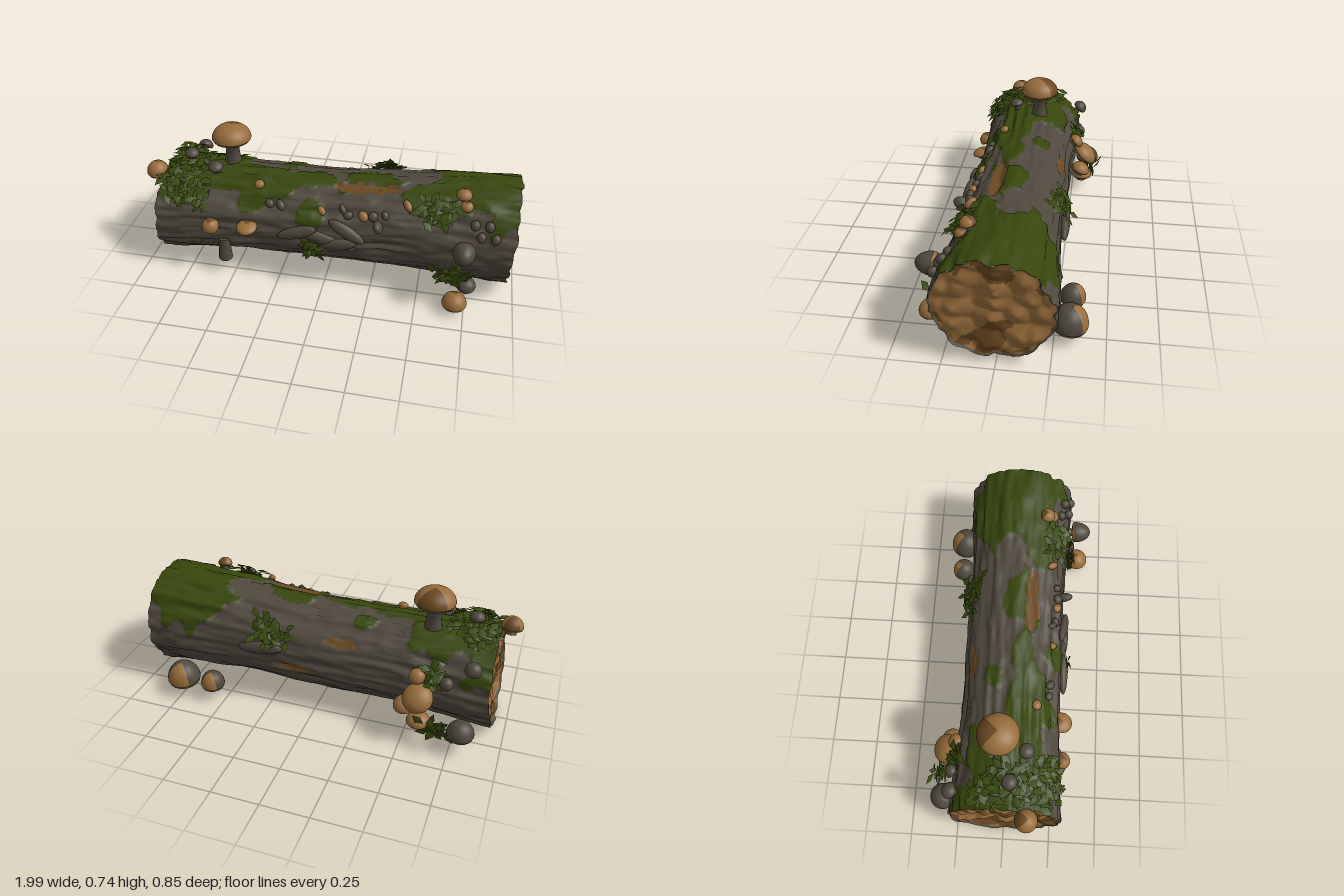
import * as THREE from 'three';
import { mergeGeometries } from 'three/addons/utils/BufferGeometryUtils.js';

const mat = (name, color, side = THREE.FrontSide) => {
  const m = new THREE.MeshStandardMaterial({ color, side });
  m.name = name;
  return m;
};
const { sin, cos, PI, abs, hypot, min, max, floor } = Math;
const lerp = THREE.MathUtils.lerp;

// Seeded random numbers and smooth value noise
let seed = 7;
const rnd = () => (seed = (seed * 16807) % 2147483647) / 2147483647;
const hash = (x, y, z) => { const s = sin(x * 127.1 + y * 311.7 + z * 74.7) * 43758.5453; return s - floor(s); };
function noise(x, y, z) {
  const i = floor(x), j = floor(y), k = floor(z);
  const f = t => t * t * (3 - 2 * t), u = f(x - i), v = f(y - j), w = f(z - k);
  const row = (b, c) => lerp(hash(i, b, c), hash(i + 1, b, c), u);
  return lerp(lerp(row(j, k), row(j + 1, k), v), lerp(row(j, k + 1), row(j + 1, k + 1), v), w);
}
// Distance to the nearest cell centre, for the lumpy cut ends
function cells(y, z) {
  let d = 9;
  for (let i = floor(y) - 1; i <= floor(y) + 1; i++) for (let j = floor(z) - 1; j <= floor(z) + 1; j++)
    d = min(d, hypot(i + hash(i, j, 3) - y, j + hash(i, j, 8) - z));
  return d;
}

// Log outline; the angle a runs from the top (0) towards the front (+z)
const step = THREE.MathUtils.smoothstep;
const bottom = x => 0.055 - 0.04 * step(-x, 0.35, 0.95) - 0.012 * step(x, 0.3, 0.97);
const top = x => 0.525 + 0.065 * step(x, -0.2, 0.97);
const half = x => 0.262 + 0.026 * step(abs(x), 0.3, 0.97);
const MOSS = [[-0.88, -0.1, 0.17, 1.15], [-0.45, 0.35, 0.46, 0.4], [-0.4, 0.8, 0.09, 0.3], [-0.62, -0.45, 0.15, 0.5],
  [-0.08, 0.95, 0.07, 0.38], [-0.22, -0.35, 0.06, 0.2], [0.25, 0, 0.2, 0.24], [0.78, -0.45, 0.28, 0.85],
  [0.9, 0, 0.2, 1.05], [0.57, 0.5, 0.17, 0.42]];
const BARE = [[0.2, 0.34, 0.17, 0.14], [-0.13, -0.95, 0.1, 0.1], [0.12, -1.75, 0.12, 0.09]];
const GAP = [[0.44, -0.15, 0.14, 0.28]];
const inside = (list, x, a, wob) => list.some(([cx, ca, rx, ra]) => hypot((x - cx) / rx, (a - ca) / ra) < 1 + wob);
function cover(x, angle) {
  const a = angle > PI ? angle - 2 * PI : angle;
  const w = (noise(x * 14, a * 4, 2) - 0.5) * 0.6;
  if (inside(BARE, x, a, w * 0.5)) return 2;
  return inside(MOSS, x, a, w) && !inside(GAP, x, a, w) ? 1 : 0;
}
function surface(x, a, scale = 1) {
  const c = cos(a), s = sin(a), b = bottom(x), t = top(x);
  const ridge = 1 - abs(2 * noise(x * 3 + 20, c * 5 + 9, s * 5 + 9) - 1);
  const fine = 1 - abs(2 * noise(x * 7 + 40, c * 13 + 20, s * 13 + 20) - 1);
  const d = 0.024 * ridge + 0.012 * fine - 0.026 + [0, 0.007, -0.006][cover(x, a)];
  return new THREE.Vector3(x, (b + t) / 2 + c * ((t - b) / 2 + d) * scale, 0.01 + s * (half(x) + d) * scale);
}
const ragged = (k, a) => 0.025 * (noise(k, cos(a) * 5 + 9, sin(a) * 5 + 9) - 0.5);
const leftEnd = a => -0.92 + 0.02 * cos(a) + ragged(5, a);
const rightEnd = a => 0.965 + 0.012 * cos(a) + ragged(15, a);

// Grid closed around the log, with one material group for each colour
function ringGrid(nu, nv, point, kind) {
  const pos = [], faces = [[], [], []];
  for (let i = 0; i <= nu; i++) for (let j = 0; j < nv; j++) pos.push(...point(i / nu, j / nv * 2 * PI).toArray());
  for (let i = 0; i < nu; i++) for (let j = 0; j < nv; j++) {
    const p = i * nv + j, q = i * nv + (j + 1) % nv;
    faces[kind((i + 0.5) / nu, (j + 0.5) / nv * 2 * PI)].push(p, q, p + nv, q, q + nv, p + nv);
  }
  const g = new THREE.BufferGeometry();
  g.setAttribute('position', new THREE.Float32BufferAttribute(pos, 3));
  g.setIndex(faces.flat());
  let start = 0;
  faces.forEach((f, k) => { g.addGroup(start, f.length, k); start += f.length; });
  g.computeVertexNormals();
  return g;
}

export function createModel() {
  const bark = mat('bark', 0x4f483e), moss = mat('moss', 0x37460c), wood = mat('wood', 0x976c3b);
  const darkWood = mat('darkWood', 0x6a4822), leaf = mat('mossLeaf', 0x3a4a10, THREE.DoubleSide);
  const root = new THREE.Group();
  root.name = 'mossyLog';
  const add = (name, geo, m, parent = root) => {
    const mesh = new THREE.Mesh(geo, m);
    mesh.name = name;
    parent.add(mesh);
    return mesh;
  };

  // Bark tube with moss and bare patches
  const along = (u, a) => lerp(leftEnd(a), rightEnd(a), u);
  add('barkTube', ringGrid(170, 140, (u, a) => surface(along(u, a), a), (u, a) => cover(along(u, a), a)), [bark, moss, darkWood]);

  // Lumpy cut ends with a bark rim
  for (const side of [-1, 1]) {
    const radius = u => side < 0 ? u : 1 - u;
    const point = (u, a) => {
      const r = radius(u), p = surface(side < 0 ? leftEnd(a) : rightEnd(a), a, r);
      if (r > 0.99) return p;
      const lump = 0.04 * (0.5 - cells(p.y * 9 + 5, p.z * 9 + 5)) + 0.012 * (noise(p.y * 20, p.z * 20, 4) - 0.5);
      p.x = lerp(side < 0 ? -0.905 : 0.963, p.x, r ** 4) + side * (lump * min(1, (1 - r) * 8) - 0.008);
      return p;
    };
    const kind = (u, a) => {
      const r = radius(u), y = r * cos(a), z = r * sin(a);
      if (r > 0.965) return 0;
      const n = noise(y * 4 + 9, z * 4 + 9, 6) - 0.5;
      if (side < 0) return n > 0.05 ? 2 : 1;
      return hypot((y + 0.65) / 0.4, (z - 0.05) / 0.45) + n < 0.85 || hypot((y - 0.9) / 0.3, z / 0.3) + n < 0.9 ||
        (r > 0.88 && n > 0.18) ? 2 : 1;
    };
    add(side < 0 ? 'leftCutEnd' : 'rightCutEnd', ringGrid(36, 100, point, kind), [bark, wood, darkWood]);
  }

  // Mushroom tilted towards the front by an angle; the back of its cap has a second colour
  function mushroom(name, base, tilt, r, h, stem, cap, patch) {
    const g = new THREE.Group();
    const lathe = (pts, from = 0, sweep = 2 * PI) =>
      new THREE.LatheGeometry(pts.map(p => new THREE.Vector2(...p)), 24, from, sweep);
    g.name = name;
    const s = min(r * 0.4, 0.04), dome = [];
    add('stem', lathe([[s * 1.25, -0.01], [s, stem * 0.25], [s * 0.9, stem * 0.6], [s * 1.3, stem * 0.9], [s * 1.9, stem * 1.02]]), bark, g);
    for (let i = 0; i <= 10; i++) {
      const t = i / 10 * PI / 2;
      dome.push([max(0.0005, r * cos(t)), stem + h * (0.14 + 0.86 * sin(t))]);
    }
    add('capUnderside', lathe([[0.001, stem], [r * 0.6, stem - h * 0.04], [r * 0.93, stem], dome[0]]), wood, g);
    add('cap', lathe(dome, -0.75 * PI, 1.5 * PI), cap, g);
    add('capBack', lathe(dome, 0.75 * PI, 0.5 * PI), patch, g);
    g.position.copy(base);
    g.rotation.x = tilt;
    root.add(g);
  }
  mushroom('tallMushroom', surface(-0.57, -0.18), 0, 0.106, 0.09, 0.135, wood, darkWood);
  // Small ones: x, angle on the log, distance out, tilt, cap radius, cap height
  const cluster = (name, cap, patch, list) => list.forEach(([x, a, out, tilt, r, h]) =>
    mushroom(name, surface(x, a, out), tilt, r, h, 0.015, cap, patch));
  cluster('frontMushroom', wood, darkWood, [[0.7, 2.28, 1.65, 0.05, 0.064, 0.07], [0.69, 0.5, 1.04, 0.15, 0.04, 0.04],
    [0.71, 0.65, 1, 0.5, 0.032, 0.03], [-0.61, 1.53, 1, 0.7, 0.046, 0.05], [-0.41, 1.5, 1.05, 0.25, 0.055, 0.03],
    [-0.95, 0.4, 0.86, 0.2, 0.058, 0.07]]);
  cluster('greyMushroom', bark, bark, [[0.72, 1.4, 1.03, 1.5, 0.058, 0.1], [0.75, 2.25, 1.25, 0.3, 0.05, 0.05],
    [-0.78, 0.05, 1.1, 0, 0.04, 0.04], [-0.62, 0.3, 1.06, 0.2, 0.04, 0.035], [-0.8, -2.12, 1.42, -0.1, 0.07, 0.085],
    [-0.82, -0.94, 1.1, -0.73, 0.042, 0.045], [-0.7, -1.3, 1.05, -0.9, 0.035, 0.04]]);
  cluster('backLowMushroom', bark, wood, [[0.75, -2.25, 1.5, -0.1, 0.09, 0.12], [0.57, -2.22, 1.5, -0.1, 0.065, 0.09]]);
  cluster('backMushroom', wood, wood, [[-0.57, -1.68, 1.15, -0.72, 0.078, 0.06], [-0.58, -2.16, 1.45, -0.05, 0.062, 0.055],
    [-0.5, -1.95, 1.2, -0.42, 0.055, 0.05], [-0.55, -1.3, 1.02, -0.8, 0.042, 0.04]]);

  // Rounded pieces lying on the bark: x, angle, length, height, width
  const blob = new THREE.SphereGeometry(1, 14, 10);
  function onBark(name, x, a, l, h, w, m, turn = 0) {
    const mesh = add(name, blob, m);
    mesh.position.copy(surface(x, a)).add(new THREE.Vector3(0, cos(a), sin(a)).multiplyScalar(h * 0.4));
    mesh.rotation.x = a;
    mesh.rotateY(turn);
    mesh.scale.set(l, h, w);
  }
  [-0.37, -0.3, -0.24, -0.02, 0.09, 0.12, 0.2, 0.25, 0.31, 0.42].forEach((x, i) =>
    onBark('pebble', x, 0.5 + rnd() * 0.5, 0.016 + rnd() * 0.012, 0.02, 0.022 + rnd() * 0.014, i % 3 ? bark : wood, rnd()));
  for (let i = 0; i < 4; i++) onBark('frontPebble', 0.76 + i * 0.035, 0.95 + (i % 2) * 0.2, 0.024, 0.024, 0.028, bark);
  // Peeling bark flakes: x, angle, length, turn
  [[0, 1.55, 0.18, -0.25], [-0.14, 1.42, 0.11, 0.3], [0.12, 1.3, 0.11, -0.5], [0.08, 1.62, 0.1, 0.2], [0.3, -1.4, 0.13, 0.1]]
    .forEach(([x, a, l, t]) => onBark('barkFlake', x, a, l, 0.024, 0.034, bark, t));
  onBark('barkKnob', 0.28, 1.15, 0.025, 0.05, 0.035, bark, 0.4);
  // Hanging twig stub with a rounded tip
  add('twigStub', new THREE.CylinderGeometry(0.028, 0.038, 0.13, 14), bark).position.set(-0.55, 0.155, 0.265);
  const tip = add('twigTip', blob, bark);
  tip.position.set(-0.55, 0.095, 0.265);
  tip.scale.set(0.039, 0.02, 0.039);

  // Leafy moss tufts, leaves facing outwards: x, angle, spread along x, spread around, distance out
  const blade = new THREE.BufferGeometry();
  blade.setAttribute('position', new THREE.Float32BufferAttribute(
    [0, 0, 0, 0.3, 0.5, 0.04, 0, 0.55, 0.1, -0.3, 0.5, 0.04, 0, 1, 0], 3));
  blade.setIndex([0, 1, 2, 0, 2, 3, 1, 4, 2, 2, 4, 3]);
  const tuft = ([x, a, sx, sa, out = 1]) => {
    const leaves = [];
    for (let i = 0; i < 18 + 1700 * sx * sa; i++) {
      const px = x + (rnd() + rnd() - 1) * sx, pa = a + (rnd() + rnd() - 1) * sa, s = 0.045 + rnd() * 0.035;
      const normal = new THREE.Vector3((rnd() - 0.5) * 0.9, cos(pa) + rnd() * 0.5, sin(pa) + (rnd() - 0.5) * 0.9).normalize();
      const side = new THREE.Vector3(rnd() - 0.5, rnd() - 0.5, rnd() - 0.5).cross(normal).normalize();
      const m = new THREE.Matrix4().makeBasis(side, normal.clone().cross(side), normal);
      m.scale(new THREE.Vector3(s, s, s)).setPosition(surface(px, pa, out + 0.02 + rnd() * 0.15));
      leaves.push(blade.clone().applyMatrix4(m));
    }
    const g = mergeGeometries(leaves);
    g.computeVertexNormals();
    add('mossTuft', g, leaf);
  };
  [[-0.78, 0.3, 0.15, 0.6], [-0.74, 0.8, 0.13, 0.22], [-0.82, -0.3, 0.1, 0.25], [-0.67, -2.0, 0.07, 0.12, 1.35],
    [-0.63, -1.2, 0.07, 0.22], [0.25, -1, 0.11, 0.25], [0.57, 0.8, 0.11, 0.25], [0.67, 2, 0.1, 0.15, 1.05],
    [-0.06, 1.75, 0.05, 0.1]].forEach(tuft);
  return root;
}
